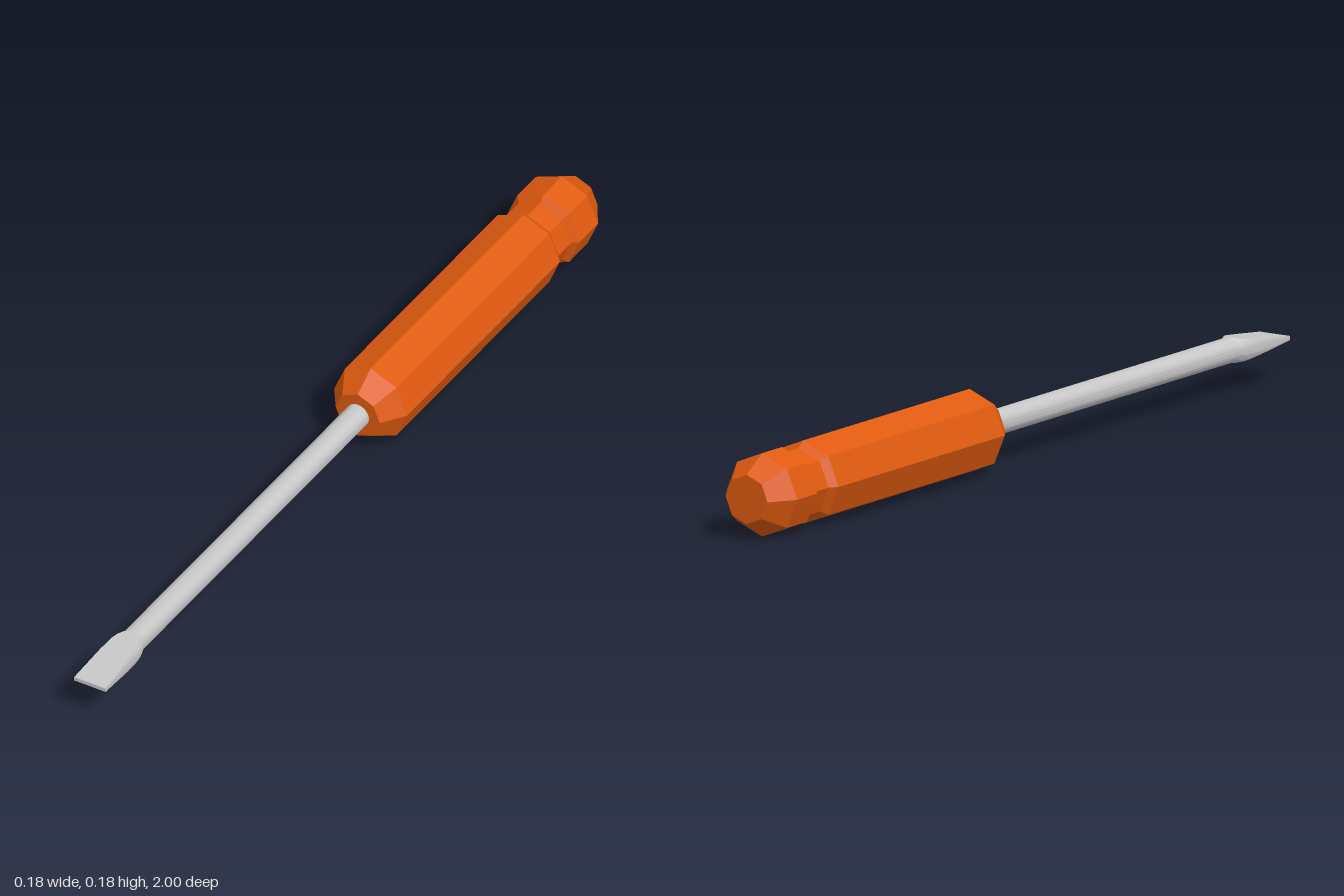
import * as THREE from 'three';
import { toCreasedNormals } from 'three/addons/utils/BufferGeometryUtils.js';

const AXIS_Y = 0.0925;

// Shaft and blade: round sections [z, radius, half height], cut flat above and below
function bladeGeometry(sections, steps) {
  const positions = [];
  const rings = sections.map(([z, r, h]) => {
    const a = Math.asin(Math.min(1, h / r));
    const ring = [];
    for (const start of [0, Math.PI]) {
      for (let i = 0; i <= steps; i++) {
        const t = start - a + (2 * a * i) / steps;
        ring.push([r * Math.cos(t), r * Math.sin(t), z]);
      }
    }
    return ring;
  });
  const tri = (a, b, c) => positions.push(...a, ...b, ...c);
  const n = rings[0].length;
  for (let s = 0; s < rings.length - 1; s++) {
    for (let i = 0; i < n; i++) {
      const j = (i + 1) % n;
      const [a, b, c, d] = [rings[s][i], rings[s][j], rings[s + 1][j], rings[s + 1][i]];
      tri(a, b, c);
      tri(a, c, d);
    }
  }
  // End caps
  const first = rings[0], last = rings[rings.length - 1];
  for (let i = 1; i < n - 1; i++) {
    tri(last[0], last[i], last[i + 1]);
    tri(first[0], first[i + 1], first[i]);
  }
  const geometry = new THREE.BufferGeometry();
  geometry.setAttribute('position', new THREE.Float32BufferAttribute(positions, 3));
  return toCreasedNormals(geometry, 0.3);
}

export function createModel() {
  const orange = new THREE.MeshStandardMaterial({ color: 0xdf5a0f, flatShading: true });
  orange.name = 'orange plastic';
  const steel = new THREE.MeshStandardMaterial({ color: 0xc6c6c6 });
  steel.name = 'steel';

  const group = new THREE.Group();
  group.name = 'screwdriver';

  // Eight-sided handle with a grooved neck before the end knob: [radius, z]
  const profile = [
    [0, -1], [0.054, -1], [0.091, -0.942], [0.091, -0.866], [0.077, -0.855],
    [0.077, -0.803], [0.091, -0.785], [0.091, -0.156], [0.055, -0.103], [0, -0.103],
  ].map(([r, z]) => new THREE.Vector2(r, z));
  const handle = new THREE.Mesh(new THREE.LatheGeometry(profile, 8).rotateX(Math.PI / 2), orange);
  handle.name = 'handle';
  handle.position.y = AXIS_Y;
  group.add(handle);

  // Round shaft flaring into a wedge-shaped flat tip
  const wedge = (z) => 0.028 - ((z - 0.82) / 0.18) * 0.0235;
  const flare = [[0.82, 0.028], [0.832, 0.0315], [0.845, 0.0355], [0.86, 0.0375], [0.9, 0.0385], [1, 0.0395]];
  const sections = [[-0.12, 0.028, 0.028], ...flare.map(([z, r]) => [z, r, wedge(z)])];
  const shaft = new THREE.Mesh(bladeGeometry(sections, 12), steel);
  shaft.name = 'shaftAndBlade';
  shaft.position.y = AXIS_Y;
  group.add(shaft);

  return group;
}
